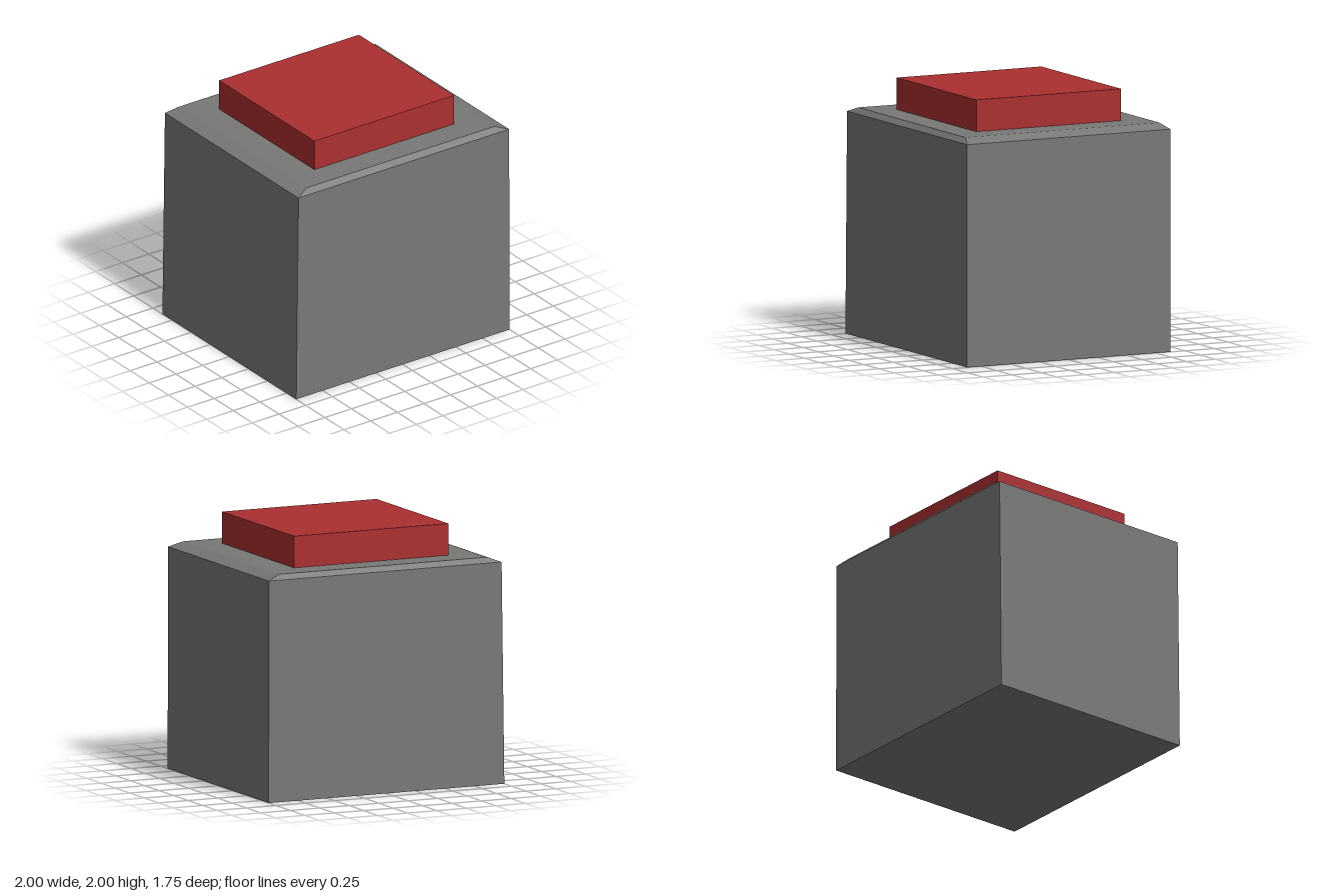
import * as THREE from 'three';

// Closed solid from stacked rectangles, listed bottom to top as {y, x: [min, max], z: [min, max]}
function stackedBlock(levels) {
  const corners = ({ y, x, z }) => [
    [x[0], y, z[1]], [x[1], y, z[1]], [x[1], y, z[0]], [x[0], y, z[0]],
  ];
  const rings = levels.map(corners);
  const positions = [];
  const quad = (a, b, c, d) => positions.push(...a, ...b, ...c, ...a, ...c, ...d);

  for (let i = 0; i < rings.length - 1; i++) {
    const low = rings[i], high = rings[i + 1];
    for (let k = 0; k < 4; k++) {
      const n = (k + 1) % 4;
      quad(low[k], low[n], high[n], high[k]);
    }
  }
  quad(...rings[rings.length - 1]);
  quad(...[...rings[0]].reverse());

  const geometry = new THREE.BufferGeometry();
  geometry.setAttribute('position', new THREE.Float32BufferAttribute(positions, 3));
  geometry.computeVertexNormals();
  return geometry;
}

export function createModel() {
  const model = new THREE.Group();
  model.name = 'buttonBox';

  const grey = new THREE.MeshStandardMaterial({ color: 0x787876 });
  grey.name = 'grey housing';
  const red = new THREE.MeshStandardMaterial({ color: 0xab2f31 });
  red.name = 'red button';

  // Housing: slightly leaning side, with a shallow bevel around the top
  const housing = new THREE.Mesh(stackedBlock([
    { y: 0, x: [-1, 1], z: [-0.875, 0.875] },
    { y: 1.716, x: [-0.977, 0.998], z: [-0.875, 0.873] },
    { y: 1.755, x: [-0.873, 0.89], z: [-0.836, 0.832] },
  ]), grey);
  housing.name = 'housing';
  model.add(housing);

  // Button: plain block sunk a little into the housing
  const button = new THREE.Mesh(new THREE.BoxGeometry(1.31, 0.3, 1.246), red);
  button.name = 'button';
  button.position.set(0.008, 1.85, -0.003);
  model.add(button);

  return model;
}
